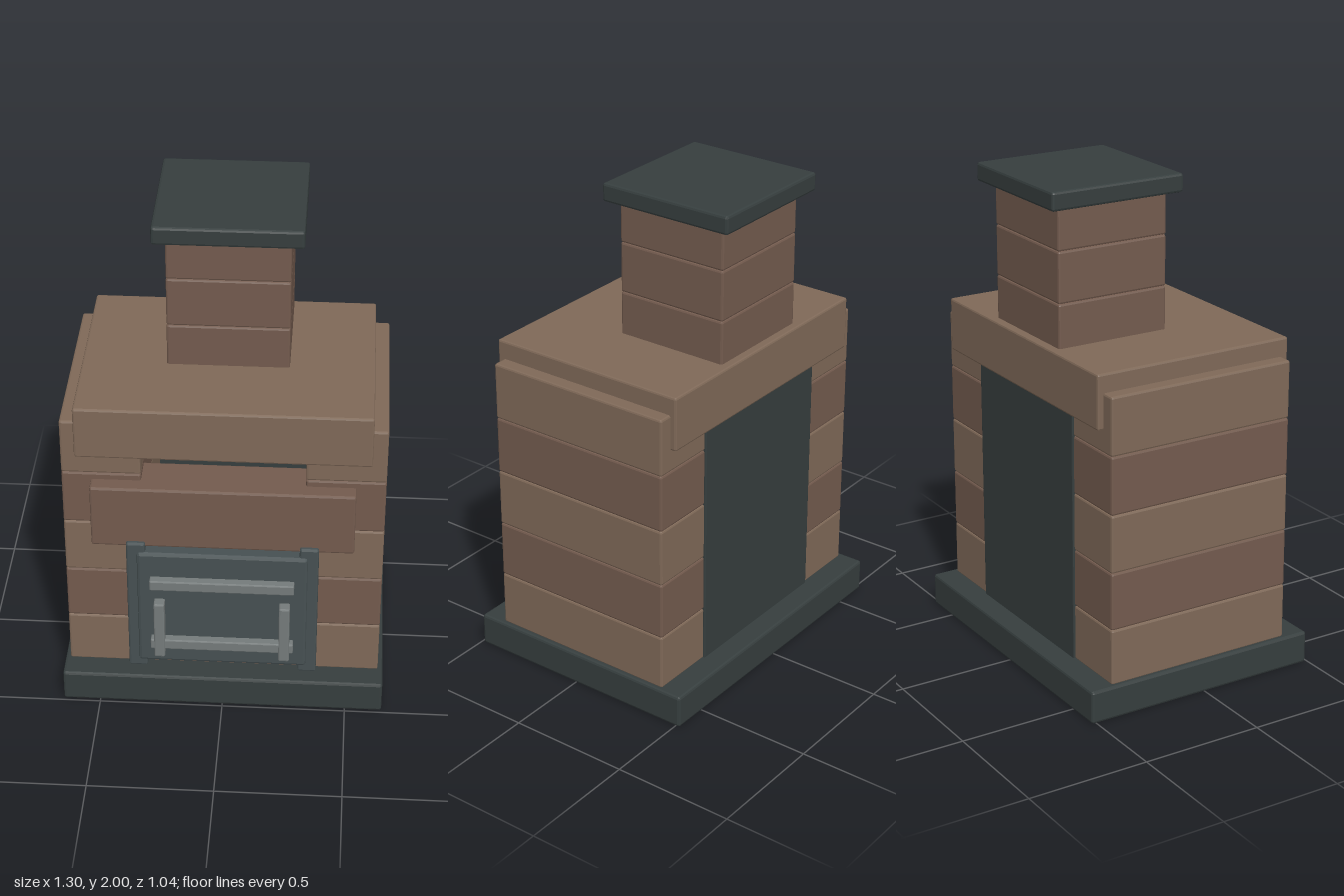
import * as THREE from 'three';
import { RoundedBoxGeometry } from 'three/addons/geometries/RoundedBoxGeometry.js';

const paint = (color) => new THREE.MeshStandardMaterial({ color, flatShading: true });

export function createModel() {
  const model = new THREE.Group();
  const lightBrick = paint(0x7f6958);
  const darkBrick = paint(0x735b4e);
  const slate = paint(0x363e3e);
  const iron = paint(0x465052);
  const steel = paint(0x757b7b);

  // Block with slightly bevelled edges, given by its extents on each axis
  function block(name, material, [x0, x1], [y0, y1], [z0, z1], bevel = 0.008) {
    const geometry = new RoundedBoxGeometry(x1 - x0, y1 - y0, z1 - z0, 1, bevel);
    const mesh = new THREE.Mesh(geometry, material);
    mesh.name = name;
    mesh.position.set((x0 + x1) / 2, (y0 + y1) / 2, (z0 + z1) / 2);
    model.add(mesh);
    return mesh;
  }
  // The same block on both sides
  function pair(name, material, [x0, x1], y, z, bevel) {
    block(name + 'Left', material, [x0, x1], y, z, bevel);
    block(name + 'Right', material, [-x1, -x0], y, z, bevel);
  }

  // Plinth and hearth floor
  block('plinth', slate, [-0.65, 0.65], [0, 0.135], [-0.52, 0.49], 0.01);
  block('hearthFloor', darkBrick, [-0.44, 0.44], [0.12, 0.21], [-0.418, 0.383]);

  // Side walls: five courses of alternating colour
  const courses = [0.13, 0.36, 0.595, 0.83, 1.065, 1.30];
  for (let i = 0; i < 5; i++) {
    pair('wallCourse' + (i + 1), i % 2 ? darkBrick : lightBrick,
      [0.32, 0.63], [courses[i], courses[i + 1]], [-0.42, 0.387]);
  }

  // Back plate closing the hollow body
  block('backPlate', slate, [-0.36, 0.36], [0.13, 1.2], [-0.428, -0.37], 0.005);

  // Lintel over the door and top slab
  block('lintel', darkBrick, [-0.515, 0.515], [0.765, 1.037], [0.26, 0.45]);
  block('topSlab', lightBrick, [-0.573, 0.573], [1.155, 1.375], [-0.445, 0.415]);

  // Chimney courses and cap
  const flue = [1.345, 1.55, 1.755, 1.95];
  for (let i = 0; i < 3; i++) {
    block('chimneyCourse' + (i + 1), darkBrick, [-0.24, 0.24], [flue[i], flue[i + 1]], [-0.41, 0.07]);
  }
  block('chimneyCap', slate, [-0.29, 0.29], [1.925, 2], [-0.463, 0.115], 0.01);

  // Iron door between two jambs
  pair('doorJamb', iron, [0.303, 0.378], [0.175, 0.79], [0.37, 0.468]);
  block('doorPanel', iron, [-0.337, 0.337], [0.21, 0.75], [0.39, 0.478], 0.012);

  // Steel bars on the door
  block('upperBar', steel, [-0.285, 0.285], [0.595, 0.64], [0.47, 0.512], 0.005);
  block('lowerBar', steel, [-0.285, 0.285], [0.3, 0.345], [0.47, 0.512], 0.005);
  pair('uprightBar', steel, [0.227, 0.27], [0.265, 0.53], [0.47, 0.52], 0.006);

  return model;
}
